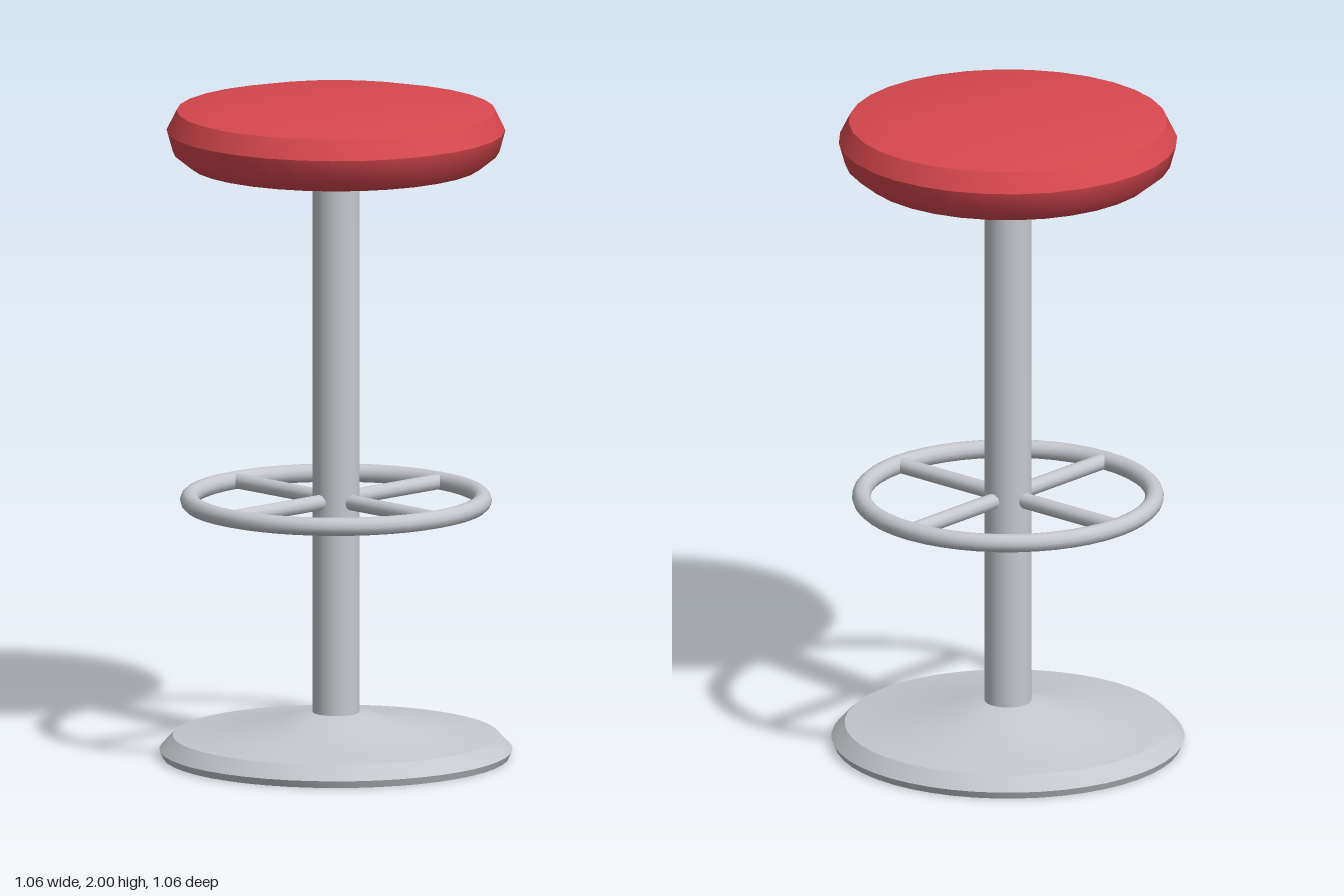
import * as THREE from 'three';
import { toCreasedNormals } from 'three/addons/utils/BufferGeometryUtils.js';

export function createModel() {
  const model = new THREE.Group();
  model.name = 'barStool';

  const metal = new THREE.MeshStandardMaterial({ color: 0xc6c8ce });
  metal.name = 'brushedMetal';
  const leather = new THREE.MeshStandardMaterial({ color: 0xd8484e });
  leather.name = 'redLeather';

  function add(name, geometry, material, parent = model) {
    const mesh = new THREE.Mesh(geometry, material);
    mesh.name = name;
    parent.add(mesh);
    return mesh;
  }

  // Revolved solid from [radius, height] pairs, bottom to top
  function turned(profile, segments, crease) {
    const points = profile.map(([r, y]) => new THREE.Vector2(r, y));
    return toCreasedNormals(new THREE.LatheGeometry(points, segments), crease);
  }

  // Weighted floor base with a raised collar
  add('base', turned([
    [0, 0], [0.52, 0], [0.53, 0.022], [0.49, 0.065],
    [0.18, 0.105], [0.10, 0.135], [0, 0.135],
  ], 48, 0.6), metal);

  // Column and the plate under the seat
  add('column', new THREE.CylinderGeometry(0.07, 0.07, 1.69, 32), metal).position.y = 0.945;
  add('seatPlate', new THREE.CylinderGeometry(0.23, 0.23, 0.025, 32), metal).position.y = 1.7975;

  // Footrest ring with four spokes
  const footrest = new THREE.Group();
  footrest.name = 'footrest';
  footrest.position.y = 0.782;
  model.add(footrest);
  add('footRing', new THREE.TorusGeometry(0.44, 0.028, 12, 48), metal, footrest).rotation.x = Math.PI / 2;
  for (let i = 0; i < 4; i++) {
    const spoke = new THREE.CylinderGeometry(0.024, 0.024, 0.38, 12);
    spoke.rotateZ(Math.PI / 2).translate(0.24, 0, 0).rotateY(i * Math.PI / 2);
    add('spoke', spoke, metal, footrest);
  }

  // Padded round seat
  add('seat', turned([
    [0, 1.805], [0.44, 1.805], [0.49, 1.845], [0.508, 1.91],
    [0.478, 1.97], [0.36, 1.995], [0, 2],
  ], 32, 0.7), leather);

  return model;
}
